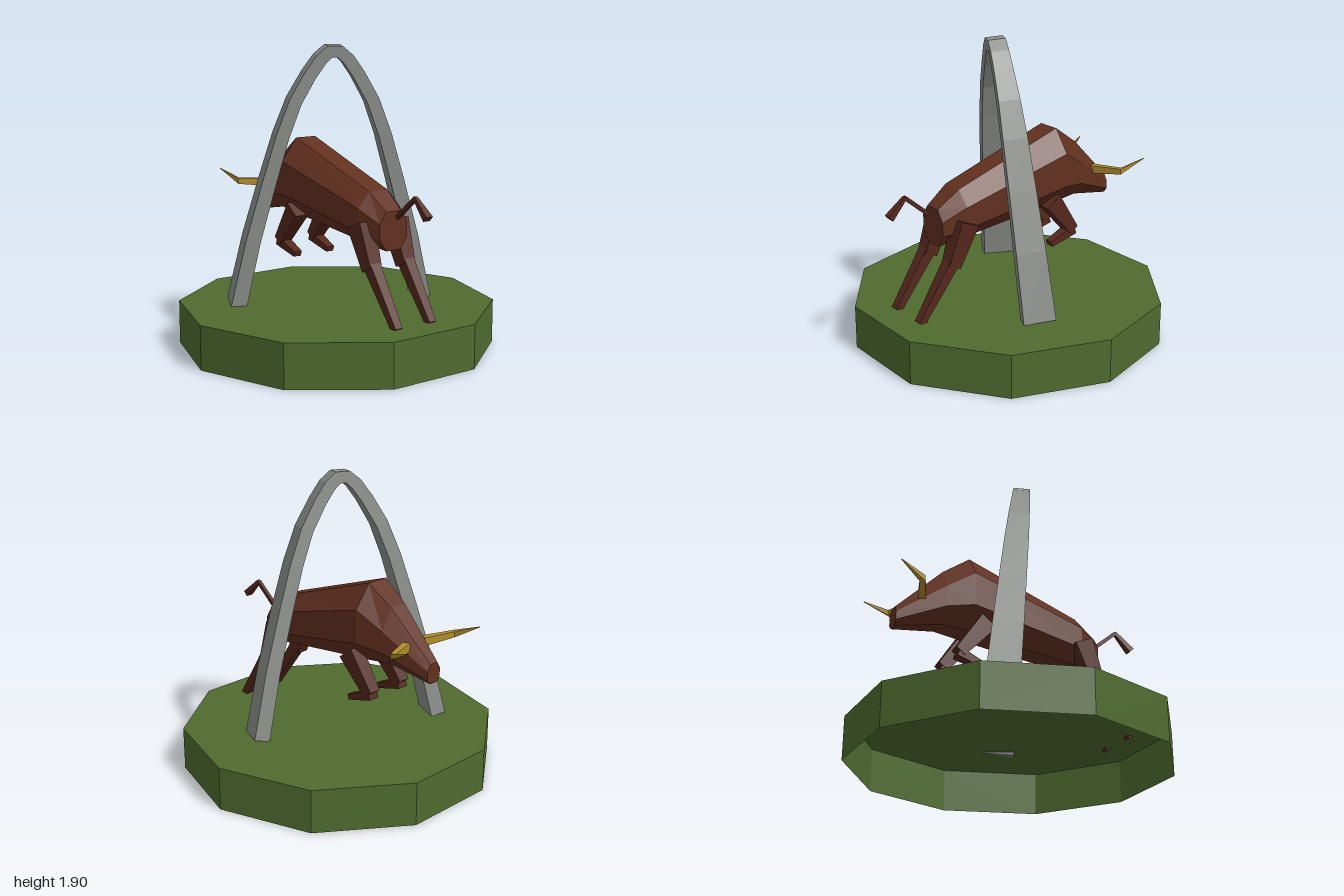
import * as THREE from 'three';

const V = (x, y, z) => new THREE.Vector3(x, y, z);
const paint = (color) => new THREE.MeshStandardMaterial({ color, flatShading: true });

// Closed, faceted skin over a list of equal-length rings, with end caps.
function loft(rings) {
  const tris = [];
  const n = rings[0].length;
  for (let i = 0; i < rings.length - 1; i++) {
    for (let j = 0; j < n; j++) {
      const k = (j + 1) % n;
      const a = rings[i][j], b = rings[i][k], c = rings[i + 1][k], d = rings[i + 1][j];
      tris.push([a, b, c], [a, c, d]);
    }
  }
  const last = rings[rings.length - 1];
  for (let j = 1; j < n - 1; j++) {
    tris.push([rings[0][0], rings[0][j + 1], rings[0][j]], [last[0], last[j], last[j + 1]]);
  }
  // A negative volume means the faces point inwards, so turn them round.
  const volume = tris.reduce((sum, [a, b, c]) => sum + a.dot(b.clone().cross(c)), 0);
  if (volume < 0) tris.forEach((t) => t.reverse());
  const geometry = new THREE.BufferGeometry().setFromPoints(tris.flat());
  geometry.computeVertexNormals();
  return geometry;
}

// Tapered rectangular bar; each stop is { p, w, d }: centre, width along axis, depth across it.
function bar(stops, axis) {
  return loft(stops.map(({ p, w, d }, i) => {
    const before = stops[Math.max(i - 1, 0)].p;
    const after = stops[Math.min(i + 1, stops.length - 1)].p;
    const tangent = after.clone().sub(before).normalize();
    const across = tangent.cross(axis).normalize();
    return [[1, 1], [-1, 1], [-1, -1], [1, -1]].map(([a, b]) =>
      p.clone().addScaledVector(axis, a * w / 2).addScaledVector(across, b * d / 2));
  }));
}

const stop = (x, y, z, w, d) => ({ p: V(x, y, z), w, d });

export function createModel() {
  const model = new THREE.Group();
  const grass = paint(0x4f6b2f);
  grass.side = THREE.DoubleSide;
  const stone = paint(0x8c8f8a);
  const hide = paint(0x62301f);
  const limbHide = paint(0x55281d);
  const hornYellow = paint(0xb08d2e);

  const add = (parent, name, geometry, material) => {
    const mesh = new THREE.Mesh(geometry, material);
    mesh.name = name;
    parent.add(mesh);
    return mesh;
  };

  // Hollow ten-sided base, open underneath
  const base = new THREE.Group();
  base.name = 'base';
  model.add(base);
  const wall = add(base, 'baseWall', new THREE.CylinderGeometry(1, 1, 0.275, 10, 1, true), grass);
  wall.position.y = 0.1375;
  wall.rotation.y = Math.PI / 10;
  const top = add(base, 'baseTop', new THREE.CircleGeometry(1, 10), grass);
  top.rotation.x = -Math.PI / 2;
  top.position.y = 0.275;

  // Leaning arch, tapering to the crown: [half span, height, width, depth]
  const half = [
    [0.597, 0.272, 0.2, 0.097], [0.505, 0.69, 0.182, 0.092], [0.41, 1.04, 0.165, 0.087],
    [0.323, 1.34, 0.15, 0.082], [0.243, 1.555, 0.133, 0.079], [0.152, 1.715, 0.118, 0.077],
    [0.085, 1.81, 0.112, 0.076], [0.032, 1.856, 0.11, 0.076],
  ];
  const profile = [
    ...half.map(([s, ...rest]) => [-s, ...rest]),
    ...half.slice().reverse(),
  ];
  const lean = 0.084;
  const archStops = profile.map(([s, y, w, d]) => {
    const shift = -lean * (y - 0.272);
    return stop(0.907 * s + 0.421 * shift, y, -0.075 + 0.421 * s - 0.907 * shift, w, d);
  });
  add(model, 'arch', bar(archStops, V(0.421, lean, -0.907).normalize()), stone);

  const bull = new THREE.Group();
  bull.name = 'bull';
  model.add(bull);

  // Body and head: [z, bottom, lower edge, upper edge, top, half width, half top width]
  const sections = [
    [0.565, 0.695, 0.77, 0.86, 0.93, 0.105, 0.055],
    [0.42, 0.715, 0.8, 0.94, 1.035, 0.155, 0.07],
    [-0.33, 0.8, 0.93, 1.145, 1.29, 0.185, 0.075],
    [-0.5, 0.815, 0.905, 1.04, 1.17, 0.138, 0.06],
    [-0.79, 0.76, 0.79, 0.845, 0.885, 0.055, 0.03],
  ];
  add(bull, 'body', loft(sections.map(([z, bottom, low, up, crest, hw, tw]) => [
    V(-tw, crest, z), V(tw, crest, z), V(hw, up, z), V(hw, low, z),
    V(tw, bottom, z), V(-tw, bottom, z), V(-hw, low, z), V(-hw, up, z),
  ])), hide);

  const sideways = V(1, 0, 0);
  for (const s of [1, -1]) {
    const side = s > 0 ? 'left' : 'right';
    const x = 0.13 * s;

    // Hind legs stretched back to the ground
    add(bull, side + 'HindThigh', bar([
      stop(x, 0.845, 0.418, 0.115, 0.13), stop(x, 0.585, 0.525, 0.085, 0.088),
    ], sideways), limbHide);
    add(bull, side + 'HindShin', bar([
      stop(x, 0.61, 0.525, 0.075, 0.075), stop(x, 0.27, 0.76, 0.052, 0.045),
    ], sideways), limbHide);

    // Front legs folded in the air
    add(bull, side + 'FrontUpperLeg', bar([
      stop(x, 0.845, -0.235, 0.1, 0.12), stop(x, 0.615, -0.415, 0.08, 0.07),
    ], sideways), limbHide);
    add(bull, side + 'FrontLowerLeg', bar([
      stop(x, 0.615, -0.425, 0.075, 0.06), stop(x, 0.55, -0.24, 0.055, 0.035),
    ], sideways), limbHide);

    // Horns
    add(bull, side + 'Horn', bar([
      stop(0.075 * s, 0.965, -0.638, 0.052, 0.05),
      stop(0.27 * s, 0.98, -0.715, 0.036, 0.034),
      stop(0.317 * s, 1.05, -0.87, 0.004, 0.004),
    ], V(0, 1, 0)), hornYellow);
  }

  // Tail and its widening tuft
  add(bull, 'tail', bar([
    stop(0, 0.897, 0.598, 0.024, 0.024), stop(0, 1.035, 0.762, 0.024, 0.024),
  ], sideways), limbHide);
  add(bull, 'tailTuft', bar([
    stop(0, 1.037, 0.757, 0.022, 0.022), stop(0, 0.928, 0.872, 0.05, 0.04),
  ], sideways), limbHide);

  return model;
}
